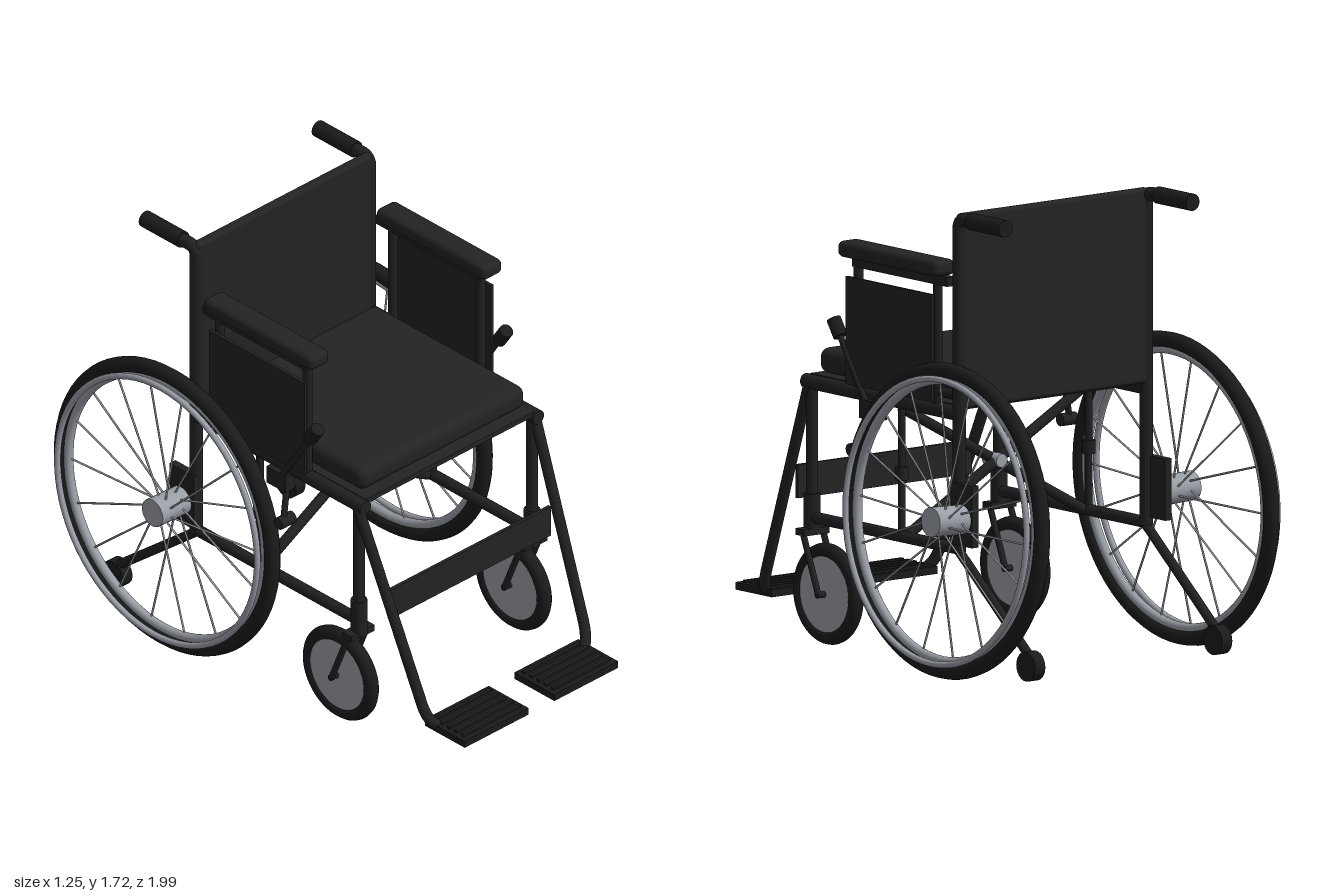
import * as THREE from 'three';
import { RoundedBoxGeometry } from 'three/addons/geometries/RoundedBoxGeometry.js';

const V = (x, y, z) => new THREE.Vector3(x, y, z);

export function createModel() {
  const mat = (name, color) => {
    const m = new THREE.MeshStandardMaterial({ color });
    m.name = name;
    return m;
  };
  const frameMat = mat('black frame', 0x202020);
  const fabric = mat('black upholstery', 0x232323);
  const rubber = mat('black rubber', 0x1b1b1b);
  const steel = mat('steel', 0x9a9ea6);

  const model = new THREE.Group();
  model.name = 'wheelchair';

  const add = (parent, name, geo, material, pos = V(0, 0, 0)) => {
    const m = new THREE.Mesh(geo, material);
    m.name = name;
    m.position.copy(pos);
    parent.add(m);
    return m;
  };
  // Straight round bar between two points
  const bar = (parent, name, a, b, r, material = frameMat, seg = 16) => {
    const d = b.clone().sub(a);
    const m = add(parent, name, new THREE.CylinderGeometry(r, r, d.length(), seg), material, a.clone().add(b).multiplyScalar(0.5));
    m.quaternion.setFromUnitVectors(V(0, 1, 0), d.normalize());
    return m;
  };
  const box = (parent, name, w, h, d, material, pos) => add(parent, name, new THREE.BoxGeometry(w, h, d), material, pos);
  const padBox = (parent, name, w, h, d, r, material, pos) => add(parent, name, new RoundedBoxGeometry(w, h, d, 4, r), material, pos);
  // Ring whose axis is x
  const ring = (parent, name, R, r, material, x = 0) => {
    const m = add(parent, name, new THREE.TorusGeometry(R, r, 14, 72), material, V(x, 0, 0));
    m.rotation.y = Math.PI / 2;
    return m;
  };

  // Seat and backrest
  padBox(model, 'seatCushion', 0.84, 0.095, 0.8, 0.035, fabric, V(0, 1.052, 0.09));
  box(model, 'seatSling', 0.86, 0.02, 0.86, fabric, V(0, 0.99, 0.09));
  padBox(model, 'backrest', 0.89, 0.725, 0.04, 0.015, fabric, V(0, 1.352, -0.36));

  // Folding cross brace with centre bolt
  for (const s of [-1, 1]) {
    bar(model, 'crossBrace', V(s * 0.43, 0.945, -0.025 + s * 0.012), V(-s * 0.43, 0.47, -0.025 + s * 0.012), 0.02);
  }
  bar(model, 'braceBolt', V(0, 0.707, -0.065), V(0, 0.707, 0.02), 0.026, steel);

  // Calf strap
  box(model, 'calfStrap', 0.82, 0.125, 0.014, fabric, V(0, 0.582, 0.62));

  for (const s of [-1, 1]) {
    const side = new THREE.Group();
    side.name = s > 0 ? 'leftSide' : 'rightSide';
    model.add(side);
    const X = s * 0.44;

    // Side frame tubes
    bar(side, 'seatRail', V(X, 0.972, 0.53), V(X, 0.972, -0.36), 0.028);
    bar(side, 'lowerRail', V(X, 0.47, 0.49), V(X, 0.47, -0.36), 0.022);
    bar(side, 'frontPost', V(X, 0.42, 0.495), V(X, 0.975, 0.495), 0.022);
    bar(side, 'casterStem', V(X, 0.41, 0.495), V(X, 0.56, 0.495), 0.031);
    bar(side, 'braceSleeve', V(X, 0.68, -0.025), V(X, 0.73, -0.025), 0.025);
    bar(side, 'middlePost', V(X, 0.47, -0.025), V(X, 0.97, -0.025), 0.014);

    // Back post bending into the push handle
    const post = new THREE.CurvePath();
    post.add(new THREE.LineCurve3(V(X, 0.46, -0.36), V(X, 1.66, -0.36)));
    post.add(new THREE.QuadraticBezierCurve3(V(X, 1.66, -0.36), V(X, 1.695, -0.36), V(X, 1.695, -0.395)));
    post.add(new THREE.LineCurve3(V(X, 1.695, -0.395), V(X, 1.695, -0.5)));
    add(side, 'backPost', new THREE.TubeGeometry(post, 100, 0.025, 16), frameMat);
    bar(side, 'handGrip', V(X, 1.695, -0.43), V(X, 1.695, -0.63), 0.032, rubber);

    // Armrest
    padBox(side, 'armPad', 0.1, 0.06, 0.575, 0.022, fabric, V(X, 1.5, 0.007));
    box(side, 'armBar', 0.035, 0.035, 0.55, frameMat, V(X, 1.455, -0.035));
    for (const z of [0.225, -0.235]) bar(side, 'armPost', V(X, 0.98, z), V(X, 1.46, z), 0.018);
    box(side, 'sideGuard', 0.012, 0.4, 0.5, fabric, V(s * 0.475, 1.203, 0));
    bar(side, 'armBracket', V(X, 1.04, -0.235), V(X, 1.04, -0.36), 0.018);

    // Wheel lock
    bar(side, 'brakeLever', V(s * 0.48, 0.93, 0.12), V(s * 0.48, 1.19, 0.29), 0.012);
    bar(side, 'brakeGrip', V(s * 0.48, 1.175, 0.28), V(s * 0.48, 1.235, 0.32), 0.027, rubber);
    box(side, 'brakeMount', 0.05, 0.07, 0.1, frameMat, V(s * 0.465, 0.925, 0.11));
    bar(side, 'brakeLink', V(s * 0.46, 0.92, 0.14), V(s * 0.505, 0.775, 0.165), 0.012);
    bar(side, 'brakeShoe', V(s * 0.46, 0.775, 0.165), V(s * 0.53, 0.775, 0.165), 0.024);

    // Footrest hanger and ribbed plate
    const hanger = new THREE.CurvePath();
    hanger.add(new THREE.LineCurve3(V(s * 0.45, 0.965, 0.5), V(s * 0.41, 0.225, 0.797)));
    hanger.add(new THREE.QuadraticBezierCurve3(V(s * 0.41, 0.225, 0.797), V(s * 0.405, 0.16, 0.823), V(s * 0.37, 0.142, 0.84)));
    add(side, 'footrestHanger', new THREE.TubeGeometry(hanger, 60, 0.021, 14), frameMat);
    box(side, 'footPlate', 0.325, 0.028, 0.21, rubber, V(s * 0.228, 0.139, 0.895));
    for (let i = 0; i < 5; i++) box(side, 'footPlateRib', 0.29, 0.01, 0.016, rubber, V(s * 0.228, 0.157, 0.82 + i * 0.0375));

    // Front caster
    const caster = new THREE.Group();
    caster.name = 'caster';
    caster.position.set(X, 0.198, 0.4);
    side.add(caster);
    ring(caster, 'casterTyre', 0.16, 0.028, rubber);
    bar(caster, 'casterDisc', V(-0.02, 0, 0), V(0.02, 0, 0), 0.148, steel, 40);
    bar(caster, 'casterAxle', V(-0.055, 0, 0), V(0.055, 0, 0), 0.012);
    for (const t of [-1, 1]) bar(caster, 'forkBlade', V(t * 0.047, 0, 0), V(t * 0.047, 0.22, 0.09), 0.012);
    box(caster, 'forkCrown', 0.118, 0.025, 0.05, frameMat, V(0, 0.222, 0.092));

    // Anti-tip arm and roller
    bar(side, 'antiTipArm', V(X, 0.46, -0.36), V(X, 0.11, -0.79), 0.018);
    bar(side, 'antiTipRoller', V(X - 0.024, 0.092, -0.775), V(X + 0.024, 0.092, -0.775), 0.055, rubber, 24);

    // Axle plate
    box(side, 'axlePlate', 0.03, 0.23, 0.13, frameMat, V(s * 0.455, 0.605, -0.405));

    // Cambered drive wheel with hand rim
    const wheel = new THREE.Group();
    wheel.name = 'driveWheel';
    wheel.position.set(s * 0.54, 0.592, -0.41);
    wheel.rotation.z = s * 0.04;
    side.add(wheel);
    ring(wheel, 'tyre', 0.553, 0.03, rubber);
    ring(wheel, 'wheelRim', 0.518, 0.018, steel);
    ring(wheel, 'handRim', 0.525, 0.012, steel, s * 0.05);
    bar(wheel, 'hub', V(-s * 0.07, 0, 0), V(s * 0.075, 0, 0), 0.055, steel, 28);
    const spokes = 18;
    for (let i = 0; i < spokes; i++) {
      const a = (i / spokes) * Math.PI * 2 + 0.05;
      const b = a + (i % 2 ? 0.3 : -0.3);
      bar(wheel, 'spoke', V(i % 2 ? 0.03 : -0.03, Math.sin(b) * 0.05, Math.cos(b) * 0.05),
        V(0, Math.sin(a) * 0.51, Math.cos(a) * 0.51), 0.004, steel, 6);
    }
  }
  return model;
}
